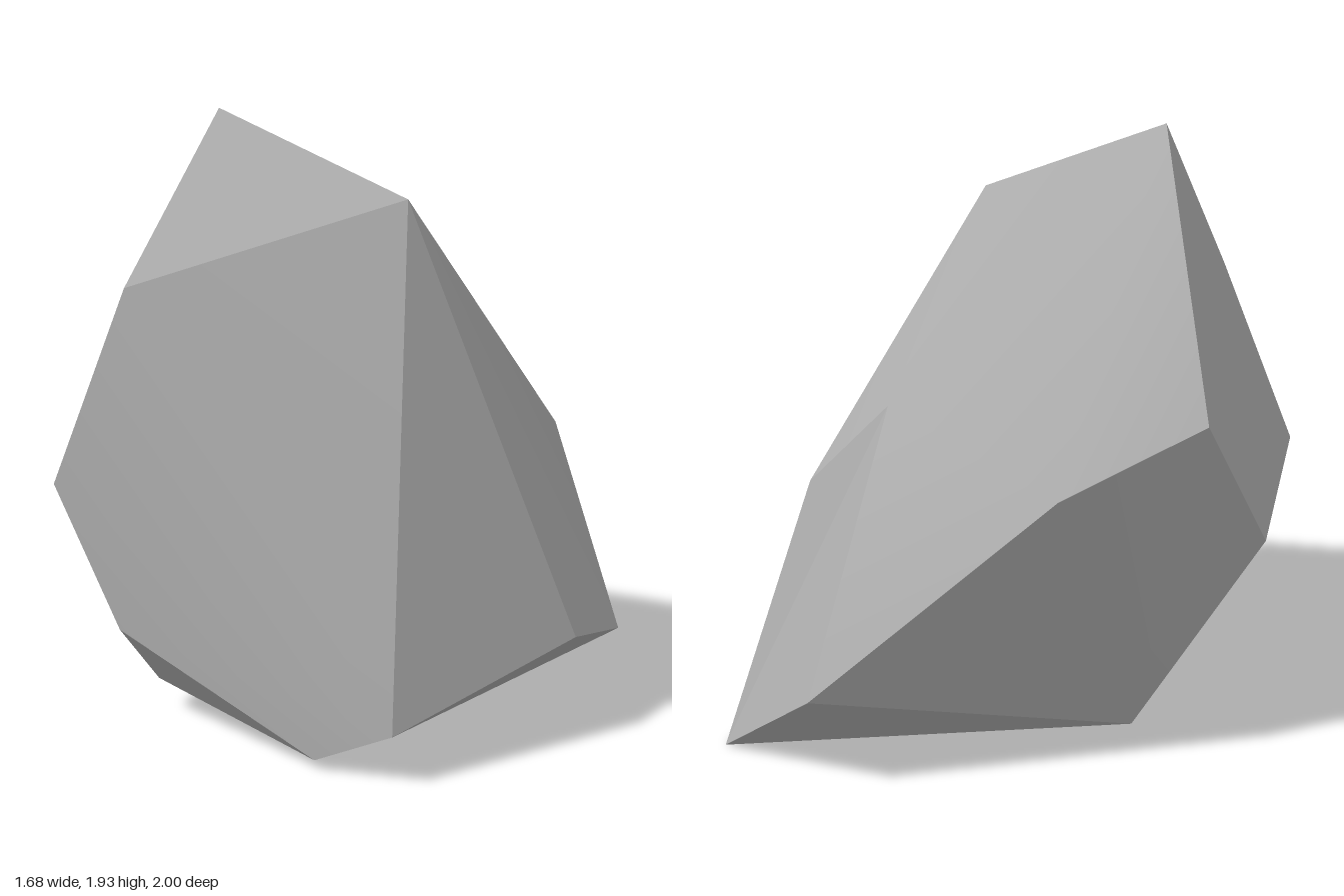
import * as THREE from 'three';
import { mergeGeometries } from 'three/addons/utils/BufferGeometryUtils.js';

// Corners of the boulder
const P = {
  A: [-0.42, 1.93, 0.18],  // peak
  B: [0.28, 1.65, 0.52],   // front shoulder
  C: [-0.57, 1.38, 0.67],
  D: [-0.84, 0.75, 0.62],
  E: [0.34, 0.15, 1.0],
  F: [0.8, 0.32, 0.47],
  G: [0.84, 0, -0.74],     // foot
  H: [0.09, 0.03, 0.92],
  I: [-0.6, 0.31, 0.69],
  J: [-0.54, 0.1, 0.51],
  K: [0.45, 0.32, -1.0],
  L: [-0.28, 0.96, -0.84],
  M: [-0.68, 1.14, -0.59],
  N: [-0.84, 0.7, -0.33],
  O: [0.34, 1.11, -0.49],  // top of the chip
  P: [0.62, 0.83, -0.46],
  Q: [-0.45, 0.1, -0.49],
};

// Each facet is a set of polygons, smooth inside and sharp at its border
const FACETS = [
  ['AML', 'ALO', 'LKO', 'AOB', 'OPB'], // rounded crown
  ['EBCDIH'],                          // front
  ['ABC'],                             // front bevel
  ['AMNDC'],                           // side with the long ridge
  ['BEF'], ['BFGP'],                   // opposite side
  ['GPO'], ['GKO'],                    // chipped corner
  ['QKLMN'], ['GKQ'],                  // back
  ['NDIJQ'], ['IHJ'],                  // undercut
  ['GHJQ'], ['EHG'], ['EGF'],          // base
];

const CENTRE = new THREE.Vector3(0, 0.8, 0);

function facet(polygons) {
  const names = [...new Set(polygons.join(''))];
  const points = names.map((n) => new THREE.Vector3(...P[n]));
  const index = [];
  for (const poly of polygons) {
    const ids = [...poly].map((n) => names.indexOf(n));
    for (let i = 1; i < ids.length - 1; i++) {
      const [a, b, c] = [ids[0], ids[i], ids[i + 1]];
      // Turn every triangle outward
      const normal = points[b].clone().sub(points[a]).cross(points[c].clone().sub(points[a]));
      const outward = normal.dot(points[a].clone().sub(CENTRE)) > 0;
      index.push(a, ...(outward ? [b, c] : [c, b]));
    }
  }
  const geometry = new THREE.BufferGeometry().setFromPoints(points);
  geometry.setIndex(index);
  geometry.computeVertexNormals();
  return geometry;
}

export function createModel() {
  const stone = new THREE.MeshStandardMaterial({ color: 0xaaaaaa });
  stone.name = 'grey stone';
  const boulder = new THREE.Mesh(mergeGeometries(FACETS.map(facet)), stone);
  boulder.name = 'boulder';
  const group = new THREE.Group();
  group.name = 'rock';
  group.add(boulder);
  return group;
}
